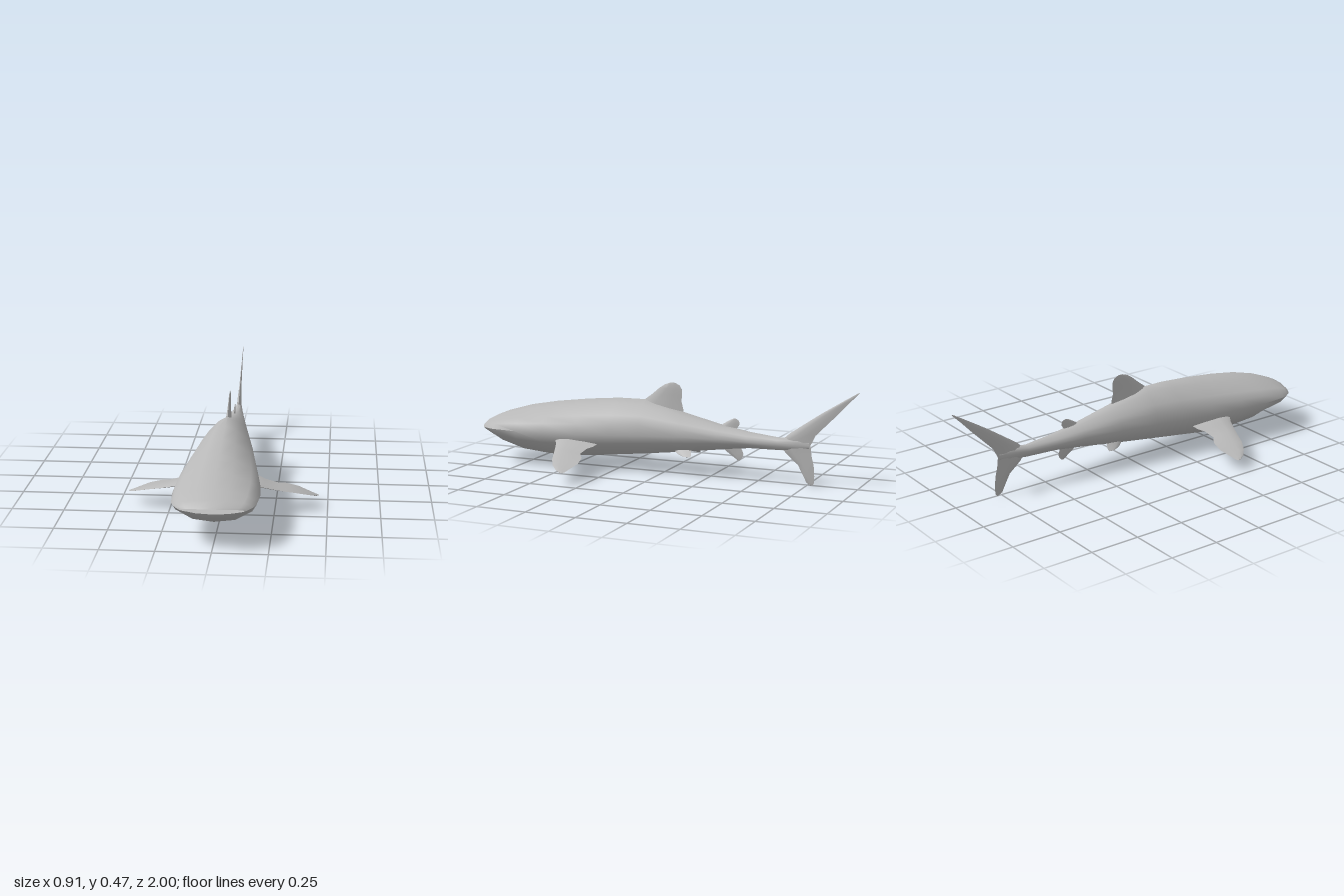
import * as THREE from 'three';
import { toCreasedNormals } from 'three/addons/utils/BufferGeometryUtils.js';

const skin = new THREE.MeshStandardMaterial({ color: 0xb8b8b8 });
skin.name = 'grey skin';

// Skins a row of equal-length closed rings of points and caps both ends.
function loft(rings, crease) {
  const n = rings[0].length, pos = [], idx = [];
  rings.forEach(r => r.forEach(p => pos.push(...p)));
  for (let i = 0; i < rings.length - 1; i++) {
    for (let j = 0; j < n; j++) {
      const a = i * n + j, b = i * n + (j + 1) % n;
      idx.push(a, b, a + n, b, b + n, a + n);
    }
  }
  [0, rings.length - 1].forEach((i, end) => {
    const c = pos.length / 3;
    for (let k = 0; k < 3; k++) pos.push(rings[i].reduce((s, p) => s + p[k] / n, 0));
    for (let j = 0; j < n; j++) {
      const a = i * n + j, b = i * n + (j + 1) % n;
      idx.push(...(end ? [c, a, b] : [c, b, a]));
    }
  });
  // Turn the faces outward if the enclosed volume is negative
  const v = i => new THREE.Vector3().fromArray(pos, i * 3);
  let volume = 0;
  for (let i = 0; i < idx.length; i += 3) volume += v(idx[i]).dot(v(idx[i + 1]).cross(v(idx[i + 2])));
  if (volume < 0) idx.reverse();
  const g = new THREE.BufferGeometry();
  g.setAttribute('position', new THREE.Float32BufferAttribute(pos, 3));
  g.setIndex(idx);
  return toCreasedNormals(g, crease);
}

// Half cross-section of the body, from belly to back
const HALF = [[0, -1], [0.5, -0.86], [0.9, -0.36], [1, 0], [0.93, 0.34], [0.78, 0.57], [0.35, 0.88], [0, 1]];
const SECTION = [...HALF, ...HALF.slice(1, -1).reverse().map(([u, v]) => [-u, v])];

// z, half width, belly y, widest y, back y, backward sweep of the sides
const BODY = [
  [0.955, 0.12, 0.183, 0.187, 0.193, 0.03],
  [0.995, 0.145, 0.181, 0.187, 0.204, 0.035],
  [0.985, 0.157, 0.168, 0.189, 0.214, 0.035],
  [0.95, 0.175, 0.145, 0.19, 0.232, 0.03],
  [0.88, 0.19, 0.105, 0.19, 0.26, 0],
  [0.75, 0.2, 0.065, 0.19, 0.298, 0],
  [0.6, 0.19, 0.048, 0.19, 0.326, 0],
  [0.42, 0.168, 0.053, 0.19, 0.35, 0],
  [0.25, 0.143, 0.073, 0.195, 0.366, 0],
  [0.1, 0.118, 0.09, 0.2, 0.368, 0],
  [-0.1, 0.09, 0.115, 0.205, 0.318, 0],
  [-0.3, 0.063, 0.143, 0.205, 0.271, 0],
  [-0.45, 0.044, 0.162, 0.2, 0.244, 0],
  [-0.6, 0.025, 0.165, 0.198, 0.228, 0],
  [-0.7, 0.012, 0.17, 0.2, 0.235, 0],
  [-0.755, 0.003, 0.18, 0.2, 0.22, 0],
];

function bodyGeometry() {
  return loft(BODY.map(([z, w, lo, mid, hi, sweep]) => SECTION.map(([u, v]) =>
    [u * w, mid + v * (v > 0 ? hi - mid : mid - lo), z - sweep * u * u])), 0.9);
}

// Fin from rows of [leading point, trailing point, half thickness];
// the thickness runs along the given normal.
function finGeometry(rows, normal) {
  const lens = [[0, 0], [0.12, 0.7], [0.35, 1], [0.7, 0.6], [1, 0], [0.7, -0.6], [0.35, -1], [0.12, -0.7]];
  return loft(rows.map(([lead, trail, t]) => lens.map(([s, h]) =>
    lead.map((c, k) => c + (trail[k] - c) * s + normal[k] * h * t))), 1.1);
}

// Upright fin on the centre line, rows of [y, leading z, trailing z, half thickness]
const uprightFin = rows =>
  finGeometry(rows.map(([y, a, b, t]) => [[0, y, a], [0, y, b], t]), [1, 0, 0]);

// Side fin, rows of [x, leading y, leading z, trailing y, trailing z, half thickness]
const sideFin = (rows, side, normal) =>
  finGeometry(rows.map(([x, ya, a, yb, b, t]) => [[side * x, ya, a], [side * x, yb, b], t]),
    [side * normal[0], normal[1], 0]);

const DORSAL = [
  [0.29, 0.16, -0.1, 0.02], [0.33, 0.14, -0.1, 0.016], [0.37, 0.105, -0.09, 0.01],
  [0.4, 0.065, -0.093, 0.007], [0.43, 0.03, -0.092, 0.005], [0.45, 0, -0.08, 0.003], [0.461, -0.03, -0.055, 0.001],
];
const SECOND_DORSAL = [
  [0.23, -0.27, -0.39, 0.012], [0.255, -0.29, -0.385, 0.008],
  [0.275, -0.315, -0.398, 0.005], [0.293, -0.345, -0.396, 0.003], [0.303, -0.365, -0.38, 0.001],
];
const ANAL = [
  [0.18, -0.29, -0.41, 0.012], [0.155, -0.31, -0.41, 0.008],
  [0.13, -0.34, -0.42, 0.005], [0.11, -0.37, -0.415, 0.003], [0.096, -0.39, -0.402, 0.001],
];
const TAIL = [
  [0.47, -0.992, -1, 0.001], [0.42, -0.91, -0.95, 0.002], [0.36, -0.815, -0.895, 0.004],
  [0.3, -0.727, -0.836, 0.006], [0.25, -0.655, -0.787, 0.01], [0.2, -0.6, -0.762, 0.013],
  [0.15, -0.64, -0.768, 0.01], [0.1, -0.7, -0.78, 0.007], [0.05, -0.727, -0.784, 0.004],
  [0.015, -0.745, -0.783, 0.002], [0.004, -0.765, -0.775, 0.001],
];
const PECTORAL = [
  [0.11, 0.165, 0.57, 0.15, 0.31, 0.018], [0.17, 0.155, 0.53, 0.14, 0.315, 0.014],
  [0.2, 0.145, 0.51, 0.132, 0.338, 0.011], [0.26, 0.126, 0.487, 0.118, 0.345, 0.009],
  [0.3, 0.115, 0.472, 0.107, 0.317, 0.008], [0.36, 0.1, 0.45, 0.09, 0.308, 0.006],
  [0.41, 0.083, 0.42, 0.074, 0.325, 0.004], [0.44, 0.07, 0.39, 0.064, 0.335, 0.003],
  [0.457, 0.061, 0.36, 0.06, 0.342, 0.001],
];
const PELVIC = [
  [0.025, 0.15, -0.05, 0.15, -0.165, 0.01], [0.045, 0.127, -0.07, 0.13, -0.16, 0.007],
  [0.06, 0.114, -0.095, 0.115, -0.168, 0.004], [0.072, 0.105, -0.13, 0.105, -0.165, 0.001],
];

export function createModel() {
  const model = new THREE.Group();
  model.name = 'whaleShark';
  const add = (name, geometry) => {
    const mesh = new THREE.Mesh(geometry, skin);
    mesh.name = name;
    model.add(mesh);
  };
  add('body', bodyGeometry());
  add('dorsalFin', uprightFin(DORSAL));
  add('secondDorsalFin', uprightFin(SECOND_DORSAL));
  add('analFin', uprightFin(ANAL));
  add('tailFin', uprightFin(TAIL));
  // Paired fins
  for (const [label, side] of [['left', 1], ['right', -1]]) {
    add(label + 'PectoralFin', sideFin(PECTORAL, side, [0.3, 0.95]));
    add(label + 'PelvicFin', sideFin(PELVIC, side, [0.7, 0.7]));
  }
  return model;
}
